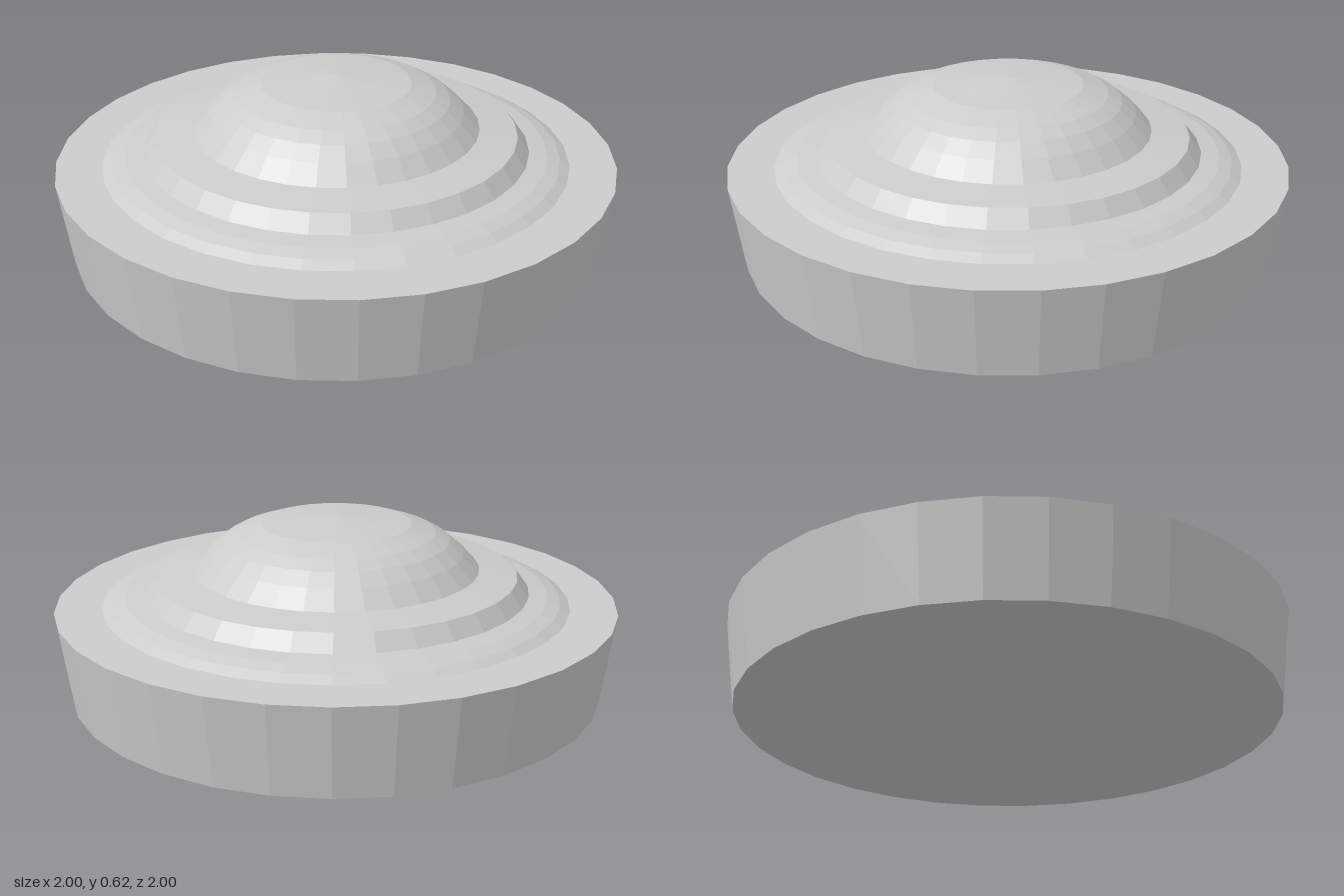
import * as THREE from 'three';

const SEGMENTS = 32;

export function createModel() {
  const model = new THREE.Group();
  const material = new THREE.MeshStandardMaterial({ color: 0xcccccc, flatShading: true });

  // Each part is turned around the y axis from [radius, height] pairs, bottom to top
  function turned(name, profile) {
    const points = profile.map(([r, y]) => new THREE.Vector2(r, y));
    const mesh = new THREE.Mesh(new THREE.LatheGeometry(points, SEGMENTS), material);
    mesh.name = name;
    model.add(mesh);
  }

  // Flared base with a closed underside and a flat rim
  turned('base', [[0, 0], [0.955, 0], [1, 0.318], [0.835, 0.318]]);

  // Rounded lower step
  turned('lowerStep', [[0.835, 0.318], [0.8, 0.338], [0.755, 0.353], [0.69, 0.362]]);

  // Bevelled upper step
  turned('upperStep', [[0.69, 0.362], [0.647, 0.418], [0.512, 0.437]]);

  // Shallow dome with a slightly pointed cap
  turned('dome', [[0.512, 0.437], [0.455, 0.498], [0.405, 0.54], [0.355, 0.568], [0.267, 0.598], [0, 0.622]]);

  return model;
}
